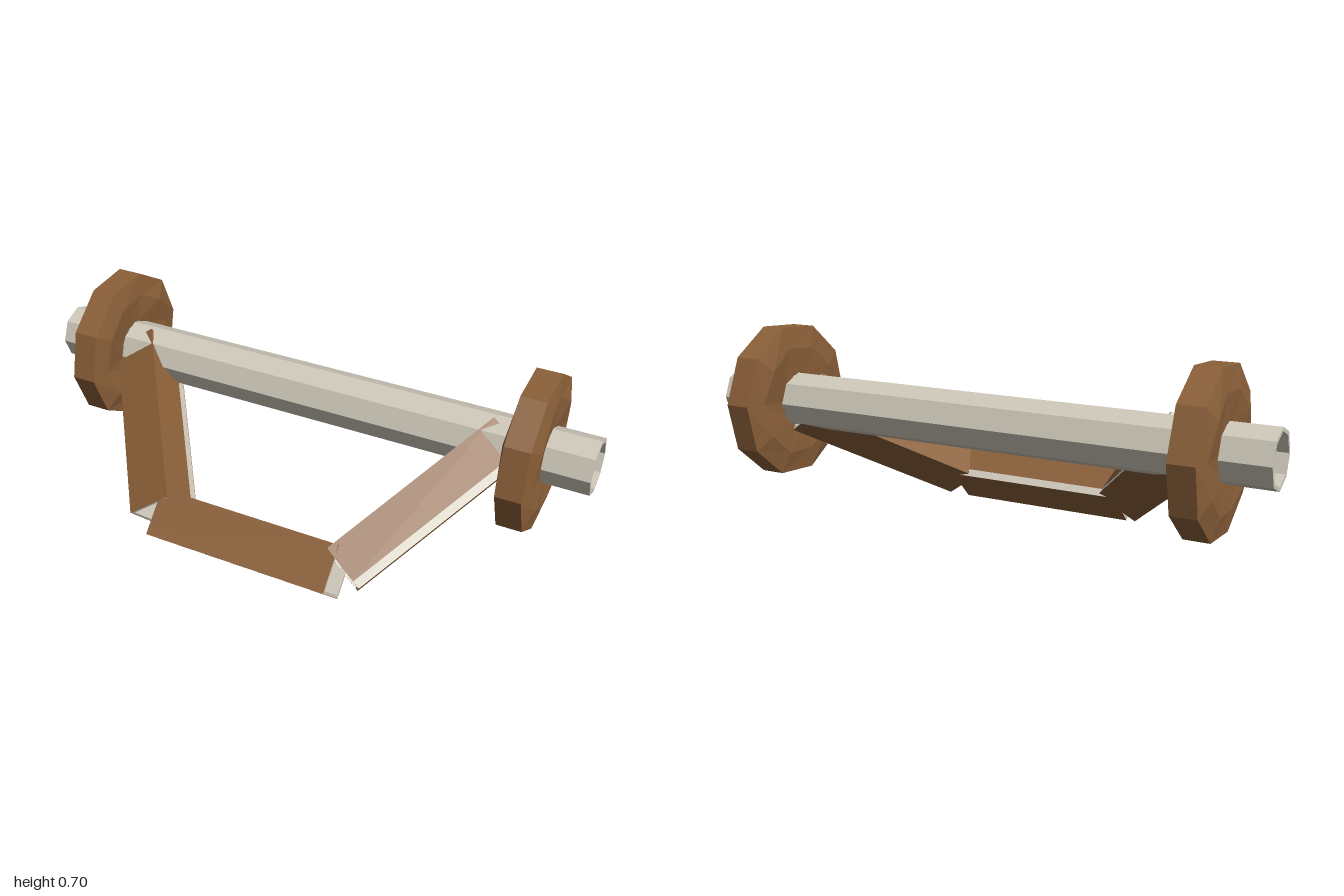
import * as THREE from 'three';

const metal = new THREE.MeshStandardMaterial({ color: 0xcec8ba, flatShading: true });
const wood = new THREE.MeshStandardMaterial({ color: 0x8b6039, flatShading: true });

const AXLE = { y: 0.434, z: -0.171 };
const v = (x, y, z) => new THREE.Vector3(x, y, z);

// regular polygon points, first corner on the local x axis
function ring(sides, r) {
  return Array.from({ length: sides }, (_, i) => {
    const t = (i / sides) * Math.PI * 2;
    return new THREE.Vector2(r * Math.cos(t), r * Math.sin(t));
  });
}

// extrudes a shape from start along dir, with the local x axis turned towards corner
function extrudeAlong(name, shape, material, start, dir, corner, length) {
  const geo = new THREE.ExtrudeGeometry(shape, { depth: length, bevelEnabled: false });
  const d = dir.clone().normalize();
  const y = d.clone().cross(corner).normalize();
  const x = y.clone().cross(d);
  geo.applyMatrix4(new THREE.Matrix4().makeBasis(x, y, d).setPosition(start));
  const mesh = new THREE.Mesh(geo, material);
  mesh.name = name;
  return mesh;
}

function tubeShape(sides, outer, inner) {
  const shape = new THREE.Shape(ring(sides, outer));
  shape.holes.push(new THREE.Path(ring(sides, inner).reverse()));
  return shape;
}

// thin square sleeve, left open in a narrow strip beside its first corner
function sleeveShape(r, thickness) {
  const c = ring(4, r);
  const outer = [...c, c[3].clone().lerp(c[0], 0.82)];
  const inner = outer.map(p => p.clone().multiplyScalar(1 - thickness / r)).reverse();
  return new THREE.Shape([...outer, ...inner]);
}

// hollow square beam with its wooden sleeve
function beam(name, start, dir, corner, length) {
  const group = new THREE.Group();
  group.name = name;
  group.add(
    extrudeAlong(name + 'Core', tubeShape(4, 0.1135, 0.1), metal, start, dir, corner, length),
    extrudeAlong(name + 'Sleeve', sleeveShape(0.115, 0.002), wood, start, dir, corner, length)
  );
  return group;
}

// ten-sided wheel with a gently wavy ridge on both faces
function wheelGeometry() {
  const n = 10, pos = [], index = [];
  for (let i = 0; i < n; i++) {
    const t = (i / n) * Math.PI * 2 + 0.077;
    const ridge = 0.059 - 0.007 * Math.cos(4 * t);
    const half = [[0.094, 0.05], [0.195, ridge], [0.272, 0.043]];
    const profile = [...half, ...half.map(([r, x]) => [r, -x]).reverse()];
    for (const [r, x] of profile) pos.push(x, r * Math.sin(t), -r * Math.cos(t));
    for (let j = 0; j < 6; j++) {
      const k = (j + 1) % 6, m = ((i + 1) % n) * 6;
      const a = i * 6 + j, b = i * 6 + k, c = m + j, d = m + k;
      index.push(a, b, c, b, d, c);
    }
  }
  const geo = new THREE.BufferGeometry();
  geo.setAttribute('position', new THREE.Float32BufferAttribute(pos, 3));
  geo.setIndex(index);
  geo.computeVertexNormals();
  return geo;
}

export function createModel() {
  const model = new THREE.Group();
  model.name = 'axleWithHandle';

  // hollow octagonal bar
  model.add(extrudeAlong('bar', tubeShape(8, 0.097, 0.084), metal,
    v(-1, AXLE.y, AXLE.z), v(1, 0, 0), v(0, 1, 0), 2));

  // wheels
  const wheel = wheelGeometry();
  for (const s of [1, -1]) {
    const mesh = new THREE.Mesh(wheel, wood);
    mesh.name = s > 0 ? 'leftWheel' : 'rightWheel';
    mesh.position.set(0.791 * s, AXLE.y, AXLE.z);
    model.add(mesh);
  }

  // handle: crosspiece and two slanting arms
  model.add(beam('crosspiece', v(0.33, 0.115, 0.325), v(-1, 0, 0), v(0, 0, -1), 0.66));
  for (const s of [1, -1]) {
    const dir = v(0.355 * s, 0.312, -0.495);
    const corner = v(0.75, 0.08 * s, 0.66 * s);
    model.add(beam(s > 0 ? 'leftArm' : 'rightArm', v(0.34 * s, 0.12, 0.312), dir, corner, dir.length()));
  }
  return model;
}
